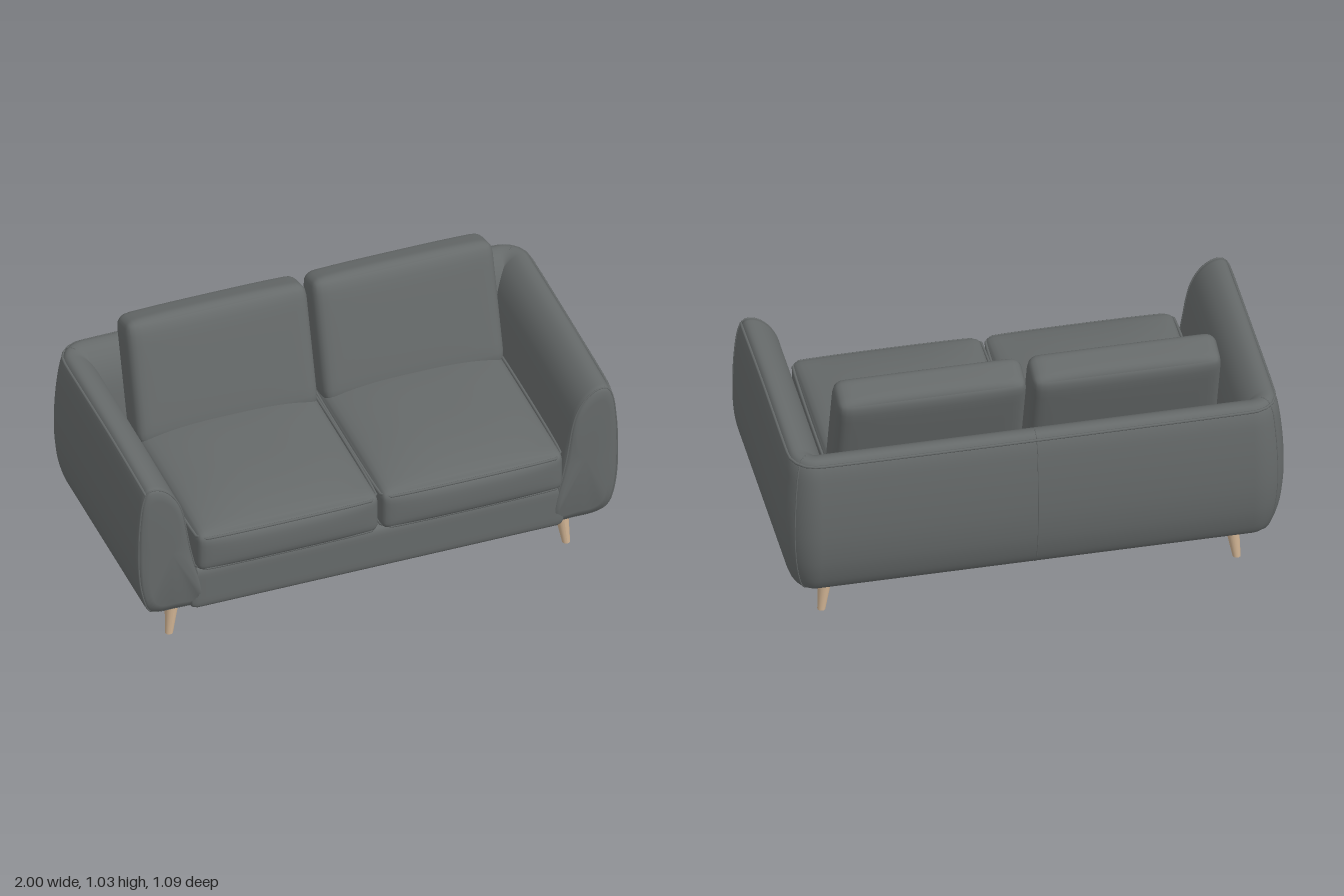
import * as THREE from 'three';
import { mergeVertices } from 'three/addons/utils/BufferGeometryUtils.js';

const fabric = new THREE.MeshStandardMaterial({ color: 0x666a6a });
fabric.name = 'greyFabric';
const wood = new THREE.MeshStandardMaterial({ color: 0xd0b393 });
wood.name = 'paleWood';

function add(parent, name, geometry, material) {
  const mesh = new THREE.Mesh(geometry, material);
  mesh.name = name;
  parent.add(mesh);
  return mesh;
}

// Soft box: rounded edges plus a bulge on each pair of faces
function softBox(w, h, d, r, bulge) {
  const half = [w / 2, h / 2, d / 2];
  let geo = new THREE.BoxGeometry(2, 2, 2, 22, 14, 22);
  geo.deleteAttribute('uv');
  geo.deleteAttribute('normal');
  geo = mergeVertices(geo);
  const pos = geo.attributes.position;
  for (let i = 0; i < pos.count; i++) {
    const t = [pos.getX(i), pos.getY(i), pos.getZ(i)].map((v) => Math.sin(v * Math.PI / 2));
    const p = t.map((v, k) => v * half[k]);
    const core = p.map((v, k) => THREE.MathUtils.clamp(v, r - half[k], half[k] - r));
    const off = new THREE.Vector3(...p.map((v, k) => v - core[k]));
    if (off.length() > 1e-6) off.setLength(Math.min(r, Math.max(Math.abs(off.x), Math.abs(off.y), Math.abs(off.z))));
    const o = off.toArray();
    const fall = t.map((v) => 1 - Math.pow(Math.abs(v), 3));
    const out = core.map((v, k) => v + o[k] + t[k] * bulge[k] * fall[(k + 1) % 3] * fall[(k + 2) % 3]);
    pos.setXYZ(i, ...out);
  }
  geo.computeVertexNormals();
  return geo;
}

// Section of the arms and back: inset from the outer face, height
const section = new THREE.CatmullRomCurve3([
  [0.27, 0.172], [0.17, 0.168], [0.10, 0.17], [0.055, 0.2], [0.02, 0.29], [0.003, 0.4],
  [0, 0.52], [0.01, 0.68], [0.028, 0.785], [0.05, 0.817], [0.09, 0.815], [0.14, 0.775],
  [0.18, 0.7], [0.208, 0.57], [0.24, 0.4], [0.268, 0.28],
].map(([d, y]) => new THREE.Vector3(d, y, 0)), true).getPoints(64).slice(0, -1);

// Stations from the left arm front, round the back, to the right arm front
const CORNER = 0.14;
const stations = [
  { z: 0.5, shrink: 0.06 }, { z: 0.497, shrink: 0.02 }, { z: 0.487, shrink: 0.006 },
  { z: 0.465, shrink: 0 }, { z: 0.1, shrink: 0 },
];
for (let i = 0; i <= 8; i++) stations.push({ angle: i / 8 * Math.PI / 2, shrink: 0 });
const half = stations.length;
for (let i = half - 1; i >= 0; i--) stations.push({ ...stations[i], mirror: true });

function shellPoint(s, d, y) {
  const pull = new THREE.Vector2(0.14 - d, 0.48 - y);
  if (s.shrink) {
    pull.setLength(s.shrink);
    d += pull.x;
    y += pull.y;
  }
  let x, z;
  if (s.angle === undefined) {
    const low = Math.max(0, (0.28 - y) / 0.11);
    x = 1 - d;
    z = s.z - (s.z > 0.4 ? 0.045 * low * low : 0);
    if (y > 0.6 && s.z > 0.4) y -= 0.012 * (y - 0.6) / 0.2;
  } else {
    const c = Math.max(d, CORNER), r = Math.max(CORNER - d, 0);
    x = 1 - c + r * Math.cos(s.angle);
    z = -(0.545 - c) - r * Math.sin(s.angle);
  }
  return new THREE.Vector3(s.mirror ? -x : x, y, z);
}

function shellGeometry() {
  const n = section.length, verts = [], index = [];
  for (const s of stations) for (const p of section) verts.push(...shellPoint(s, p.x, p.y).toArray());
  for (let i = 0; i < stations.length - 1; i++) {
    for (let j = 0; j < n; j++) {
      const k = (j + 1) % n;
      const a = i * n + j, b = a + n, c = i * n + k, d = c + n;
      index.push(a, b, c, b, d, c);
    }
  }
  // Front caps of both arms
  const last = (stations.length - 1) * n, centre = verts.length / 3;
  verts.push(0.86, 0.48, 0.5, -0.86, 0.48, 0.5);
  for (let j = 0; j < n; j++) {
    const k = (j + 1) % n;
    index.push(centre, j, k, centre + 1, last + k, last + j);
  }
  const geo = new THREE.BufferGeometry();
  geo.setAttribute('position', new THREE.Float32BufferAttribute(verts, 3));
  geo.setIndex(index);
  geo.computeVertexNormals();
  return geo;
}

function piping(points, radius, closed = false) {
  const curve = new THREE.CatmullRomCurve3(points, closed, 'centripetal');
  return new THREE.TubeGeometry(curve, points.length * 4, radius, 6, closed);
}

// Tapered, splayed leg
function legGeometry(sx, sz) {
  const geo = new THREE.CylinderGeometry(0.032, 0.016, 0.19, 20);
  geo.translate(0, 0.095, 0);
  const pos = geo.attributes.position;
  for (let i = 0; i < pos.count; i++) {
    const t = 1 - pos.getY(i) / 0.19;
    pos.setX(i, pos.getX(i) + sx * (0.803 + 0.022 * t));
    pos.setZ(i, pos.getZ(i) + (sz > 0 ? 0.357 + 0.015 * t : -0.35 - 0.013 * t));
  }
  geo.computeVertexNormals();
  return geo;
}

export function createModel() {
  const sofa = new THREE.Group();
  sofa.name = 'sofa';

  // Arms, back and base
  add(sofa, 'armsAndBack', shellGeometry(), fabric);
  add(sofa, 'base', softBox(1.56, 0.205, 0.93, 0.035, [0, 0, 0]), fabric).position.set(0, 0.271, 0.028);

  // Seams along the top edge, round the arm fronts and down the back
  add(sofa, 'topPiping', piping(stations.slice(2, -2).map((s) => shellPoint(s, 0.034, 0.8)), 0.006), fabric);
  for (const s of [stations[2], stations[stations.length - 3]]) {
    const ring = section.filter((p, j) => j % 2 === 0).map((p) => shellPoint(s, p.x, p.y));
    add(sofa, 'armFrontPiping', piping(ring, 0.004, true), fabric);
  }
  const outer = section.filter((p) => p.x < 0.1).filter((p, j) => j % 2 === 0);
  for (const s of [stations[half - 5], stations[half + 4]]) {
    add(sofa, 'backCornerSeam', piping(outer.map((p) => shellPoint(s, p.x, p.y)), 0.003), fabric);
  }
  const middle = outer.map((p) => new THREE.Vector3(0, p.y, -(0.545 - p.x)));
  add(sofa, 'backMiddleSeam', piping(middle, 0.002), fabric);

  for (const side of [1, -1]) {
    // Seat cushion with seams round its upper and lower edges
    const seat = new THREE.Group();
    seat.name = 'seatCushion';
    seat.position.set(side * 0.383, 0.462, 0.1);
    add(seat, 'seatPad', softBox(0.755, 0.18, 0.85, 0.035, [0, 0.047, 0.02]), fabric);
    for (const y of [0.073, -0.073]) {
      const loop = [];
      for (const [cx, cz, a0] of [[1, 1, 0], [-1, 1, 1], [-1, -1, 2], [1, -1, 3]]) {
        for (let i = 0; i <= 3; i++) {
          const a = (a0 + i / 3) * Math.PI / 2;
          loop.push(new THREE.Vector3(cx * 0.342 + 0.032 * Math.cos(a), y, cz * 0.389 + 0.032 * Math.sin(a)));
        }
      }
      add(seat, 'seatPiping', piping(loop, 0.006, true), fabric);
    }
    sofa.add(seat);

    // Leaning back cushion
    const back = add(sofa, 'backCushion', softBox(0.755, 0.52, 0.165, 0.048, [0, 0.008, 0.006]), fabric);
    back.position.set(side * 0.387, 0.762, -0.258);
    back.rotation.x = -0.28;

    // Legs
    add(sofa, 'frontLeg', legGeometry(side, 1), wood);
    add(sofa, 'backLeg', legGeometry(side, -1), wood);
  }
  return sofa;
}
